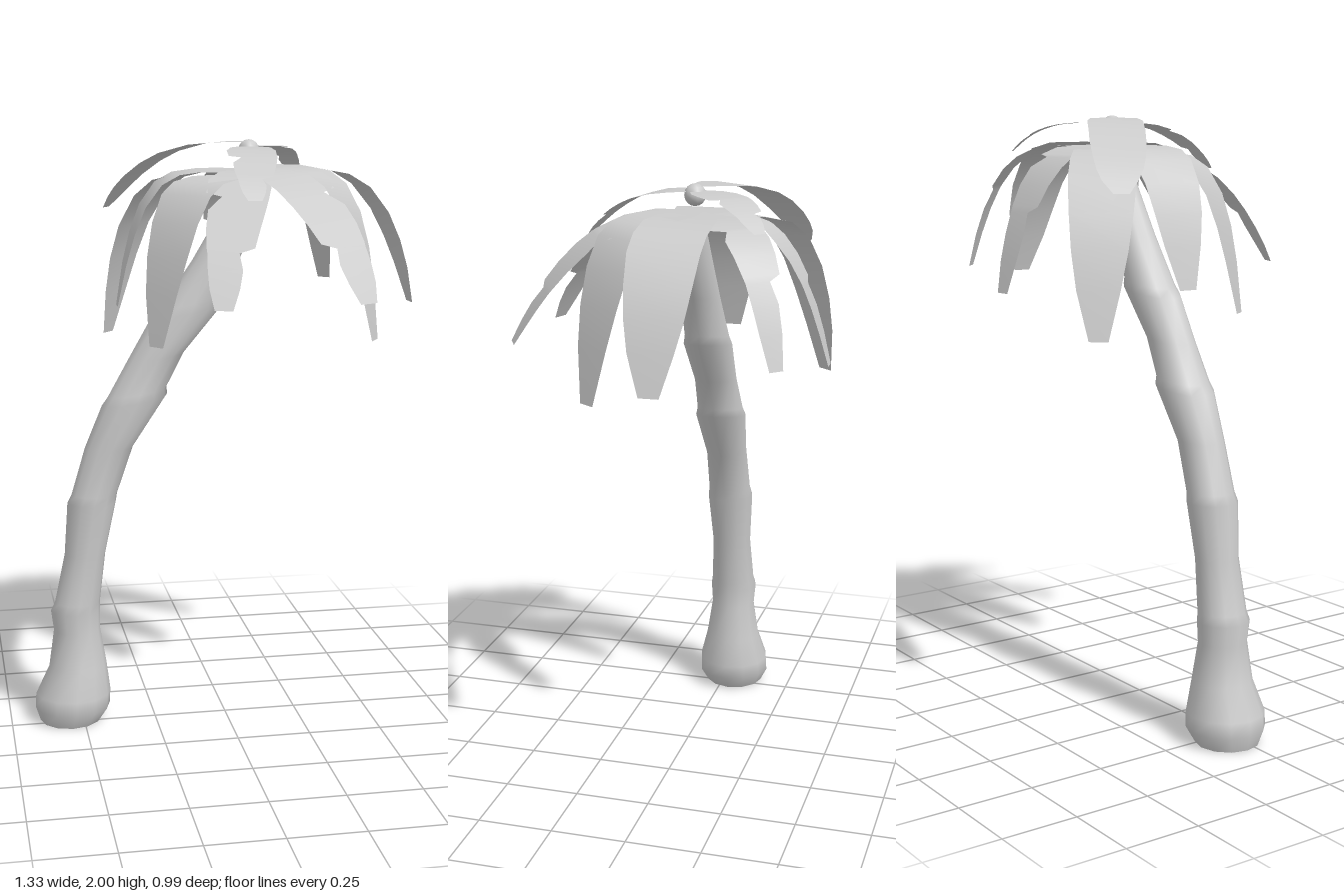
import * as THREE from 'three';

const material = new THREE.MeshStandardMaterial({ color: 0xcccccc, side: THREE.DoubleSide });
const CROWN = { x: 0.09, z: -0.048 };

function meshFrom(name, positions, indices) {
  const geometry = new THREE.BufferGeometry();
  geometry.setAttribute('position', new THREE.Float32BufferAttribute(positions, 3));
  geometry.setIndex(indices);
  geometry.computeVertexNormals();
  const mesh = new THREE.Mesh(geometry, material);
  mesh.name = name;
  return mesh;
}

// Leaning trunk, swollen at the foot and at each growth ring.
// Each section: centre x, centre y, radius in x, radius in z, tilt
const TRUNK = [
  [-0.545, 0.0, 0.105, 0.105, 0],
  [-0.536, 0.05, 0.13, 0.13, 0],
  [-0.533, 0.1, 0.13, 0.128, 0],
  [-0.515, 0.2, 0.1, 0.1, 0],
  [-0.516, 0.33, 0.08, 0.08, 0],
  [-0.52, 0.4, 0.085, 0.086, 0],
  [-0.512, 0.43, 0.078, 0.08, 0],
  [-0.483, 0.6, 0.07, 0.071, 0],
  [-0.457, 0.78, 0.083, 0.083, 0],
  [-0.447, 0.81, 0.078, 0.077, 0],
  [-0.395, 0.97, 0.082, 0.073, 0],
  [-0.305, 1.132, 0.112, 0.088, 0.018],
  [-0.295, 1.16, 0.1, 0.08, 0.015],
  [-0.23, 1.28, 0.095, 0.072, 0.01],
  [-0.123, 1.43, 0.122, 0.08, 0.02],
  [-0.11, 1.46, 0.105, 0.074, 0.02],
  [-0.02, 1.61, 0.085, 0.066, 0.01],
  [0.06, 1.76, 0.07, 0.058, 0],
  [0.105, 1.87, 0.055, 0.05, 0],
];

function makeTrunk() {
  const sides = 12, positions = [], indices = [];
  for (const [cx, cy, rx, rz, tilt] of TRUNK) {
    for (let i = 0; i < sides; i++) {
      const a = (i / sides) * Math.PI * 2;
      positions.push(cx + rx * Math.cos(a), cy + tilt * Math.cos(a), -0.036 + rz * Math.sin(a));
    }
  }
  for (let k = 0; k < TRUNK.length - 1; k++) {
    for (let i = 0; i < sides; i++) {
      const j = (i + 1) % sides;
      const a = k * sides + i, b = k * sides + j, c = a + sides, d = b + sides;
      indices.push(a, c, b, b, c, d);
    }
  }
  return meshFrom('trunk', positions, indices);
}

// Leaf outlines: distance along the leaf, then width share on each side
const WHOLE = [
  [0, 0.3, 0.3], [0.18, 0.85, 0.85], [0.35, 1, 1], [0.55, 1, 1], [0.68, 0.98, 1],
  [0.8, 0.92, 0.92], [0.88, 0.8, 0.82], [0.94, 0.6, 0.65], [1, 0.28, 0.28],
];
const TORN = [
  [0, 0.3, 0.3], [0.18, 0.85, 0.8], [0.35, 1, 1], [0.5, 1, 0.95], [0.53, 1, 0.45],
  [0.62, 0.95, 0.8], [0.72, 0.85, 0.78], [0.8, 0.75, 0.7], [0.82, 0.3, 0.66],
  [0.88, 0.45, 0.6], [0.94, 0.4, 0.5], [1, 0.25, 0.3],
];

// A leaf runs outward from the crown and droops to its tip; a high bend hangs steeply at the end
function makeFrond({ name, tip, top, half, bend, outline = WHOLE, flip = 1 }) {
  const [tx, ty, tz] = tip;
  const dx = tx - CROWN.x, dz = tz - CROWN.z, length = Math.hypot(dx, dz);
  const sx = -dz / length, sz = dx / length;
  const positions = [], indices = [];
  outline.forEach(([t, left, right], k) => {
    const y = top - (top - ty) * Math.pow(t, bend);
    for (const w of [-left * half, right * half]) {
      positions.push(CROWN.x + dx * t + sx * w * flip, y, CROWN.z + dz * t + sz * w * flip);
    }
    if (k > 0) {
      const a = 2 * k - 2;
      if (flip > 0) indices.push(a, a + 1, a + 2, a + 1, a + 3, a + 2);
      else indices.push(a, a + 2, a + 1, a + 1, a + 2, a + 3);
    }
  });
  return meshFrom(name, positions, indices);
}

const FRONDS = [
  // long hanging leaves
  { name: 'leftFrond', tip: [0.664, 1.44, -0.062], top: 1.91, half: 0.115, bend: 5 },
  { name: 'backLeftFrond', tip: [0.44, 1.49, -0.4], top: 1.9, half: 0.09, bend: 5, outline: TORN },
  { name: 'backFrond', tip: [0.068, 1.43, -0.492], top: 1.9, half: 0.1, bend: 4, outline: TORN },
  { name: 'backRightFrond', tip: [-0.35, 1.31, -0.4], top: 1.89, half: 0.11, bend: 5 },
  { name: 'rightFrond', tip: [-0.357, 1.45, -0.062], top: 1.9, half: 0.112, bend: 6 },
  { name: 'frontRightFrond', tip: [-0.265, 1.35, 0.22], top: 1.88, half: 0.11, bend: 6 },
  { name: 'frontLeftFrond', tip: [0.468, 1.35, 0.2], top: 1.91, half: 0.11, bend: 6 },
  // arching leaves with torn edges
  { name: 'innerFrontRightFrond', tip: [-0.09, 1.5, 0.485], top: 1.9, half: 0.105, bend: 2.7, outline: TORN },
  { name: 'innerFrontLeftFrond', tip: [0.365, 1.51, 0.48], top: 1.91, half: 0.125, bend: 2.7, outline: TORN, flip: -1 },
  // short upper leaves
  { name: 'upperBackRightFrond', tip: [-0.36, 1.76, -0.32], top: 1.99, half: 0.09, bend: 3 },
  { name: 'upperBackLeftFrond', tip: [0.3, 1.88, -0.31], top: 1.975, half: 0.075, bend: 4, outline: TORN },
  { name: 'upperFrontFrond', tip: [0.04, 1.82, 0.32], top: 1.975, half: 0.08, bend: 2.7, outline: TORN },
];

export function createModel() {
  const palm = new THREE.Group();
  palm.name = 'palmTree';
  palm.add(makeTrunk());

  // flat underside of the trunk
  const [bx, , br] = TRUNK[0];
  const base = new THREE.Mesh(new THREE.CircleGeometry(br, 12), material);
  base.name = 'trunkBase';
  base.rotation.x = Math.PI / 2;
  base.position.set(bx, 0, -0.036);
  palm.add(base);

  const crown = new THREE.Group();
  crown.name = 'crown';
  FRONDS.forEach((f) => crown.add(makeFrond(f)));

  // round bud in the middle of the leaves
  const bud = new THREE.Mesh(new THREE.SphereGeometry(0.036, 12, 8), material);
  bud.name = 'bud';
  bud.position.set(CROWN.x, 1.962, CROWN.z);
  crown.add(bud);

  palm.add(crown);
  return palm;
}
